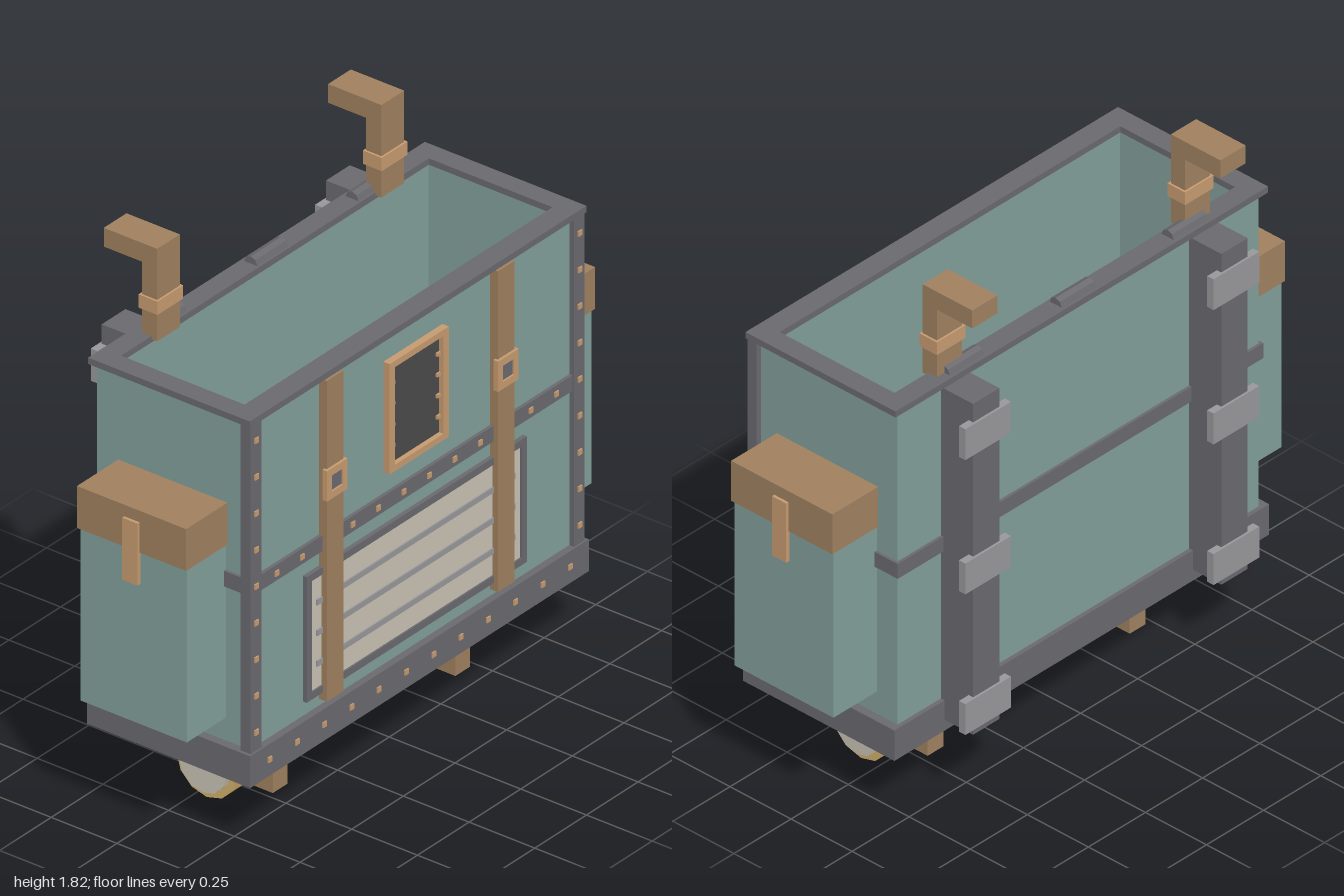
import * as THREE from 'three';

const mat = (name, color) => {
  const m = new THREE.MeshStandardMaterial({ color });
  m.name = name;
  return m;
};

export function createModel() {
  const model = new THREE.Group();
  model.name = 'travelPack';

  const canvas = mat('tealCanvas', 0x829f9a);
  const trim = mat('greyTrim', 0x6a696e);
  const steel = mat('lightSteel', 0x98989b);
  const leather = mat('leather', 0xa08160);
  const copper = mat('copper', 0xc69b70);
  const dark = mat('darkLining', 0x4a4a4a);
  const cream = mat('cream', 0xc9c2b4);
  const gold = mat('goldCloth', 0xd0b06c);

  // Box given by its extents on each axis
  const box = (name, m, [x0, x1], [y0, y1], [z0, z1]) => {
    const mesh = new THREE.Mesh(new THREE.BoxGeometry(x1 - x0, y1 - y0, z1 - z0), m);
    mesh.position.set((x0 + x1) / 2, (y0 + y1) / 2, (z0 + z1) / 2);
    mesh.name = name;
    model.add(mesh);
    return mesh;
  };
  // Box centred on x with width w
  const at = (name, m, x, w, y, z) => box(name, m, [x - w / 2, x + w / 2], y, z);

  // Flat frame with a rectangular hole, extruded along +z
  const rect = (Type, x0, x1, y0, y1) => {
    const s = new Type();
    s.moveTo(x0, y0).lineTo(x1, y0).lineTo(x1, y1).lineTo(x0, y1).closePath();
    return s;
  };
  const frameGeo = (outer, inner, depth) => {
    const s = rect(THREE.Shape, ...outer);
    s.holes.push(rect(THREE.Path, ...inner));
    return new THREE.ExtrudeGeometry(s, { depth, bevelEnabled: false });
  };
  const frontFrame = (name, m, outer, inner, z0, z1) => {
    const mesh = new THREE.Mesh(frameGeo(outer, inner, z1 - z0), m);
    mesh.position.z = z0;
    mesh.name = name;
    model.add(mesh);
  };
  // Horizontal ring: extents are x0, x1, z0, z1
  const ring = (name, m, outer, inner, y0, y1) => {
    const geo = frameGeo(outer, inner, y1 - y0);
    geo.rotateX(Math.PI / 2);
    const mesh = new THREE.Mesh(geo, m);
    mesh.position.y = y1;
    mesh.name = name;
    model.add(mesh);
  };
  const rivet = (x, y, z) => at('rivet', copper, x, 0.018, [y - 0.009, y + 0.009], [z - 0.004, z + 0.005]);

  // Open body, floor, base and rim
  ring('bodyWalls', canvas, [-0.79, 0.79, -0.24, 0.34], [-0.75, 0.75, -0.19, 0.29], 0.34, 1.49);
  at('innerFloor', dark, 0, 1.5, [0.352, 0.36], [-0.19, 0.29]);
  at('base', trim, 0, 1.64, [0.24, 0.35], [-0.255, 0.365]);
  ring('rim', trim, [-0.815, 0.815, -0.255, 0.36], [-0.745, 0.745, -0.185, 0.285], 1.483, 1.505);
  ring('middleBand', trim, [-0.8, 0.8, -0.25, 0.352], [-0.78, 0.78, -0.23, 0.33], 0.888, 0.942);

  // Rivet rows on the base and middle band
  for (let i = 0; i < 12; i++) {
    rivet(-0.727 + i * 0.1322, 0.298, 0.365);
    rivet(-0.677 + i * 0.1231, 0.915, 0.352);
  }

  // Window with stitched frame
  at('windowPane', dark, 0, 0.24, [1.03, 1.38], [0.338, 0.347]);
  frontFrame('windowFrame', copper, [-0.143, 0.143, 1.015, 1.397], [-0.117, 0.117, 1.037, 1.375], 0.338, 0.364);
  for (const y of [1.095, 1.168, 1.241, 1.312])
    for (const s of [-1, 1]) at('windowStitch', copper, s * 0.11, 0.018, [y - 0.006, y + 0.006], [0.345, 0.354]);

  // Framed panel with slats
  at('panel', cream, 0, 1.03, [0.42, 0.815], [0.338, 0.349]);
  frontFrame('panelFrame', trim, [-0.533, 0.533, 0.4, 0.835], [-0.508, 0.508, 0.425, 0.81], 0.338, 0.355);
  for (const y of [0.51, 0.616, 0.722])
    at('panelSlat', steel, 0, 0.96, [y - 0.01, y + 0.01], [0.347, 0.354]);

  // Bedroll under the base
  const roll = (name, m, r, len) => {
    const geo = new THREE.CylinderGeometry(r, r, len, 12).toNonIndexed();
    geo.rotateZ(Math.PI / 2);
    geo.computeVertexNormals();
    const mesh = new THREE.Mesh(geo, m);
    mesh.position.set(0, 0.128, 0.055);
    mesh.name = name;
    model.add(mesh);
  };
  roll('bedroll', gold, 0.115, 1.27);
  roll('bedrollCore', cream, 0.09, 1.31);

  // Clips along the back of the rim
  for (const x of [-0.49, 0, 0.49]) {
    const geo = new THREE.CylinderGeometry(0.025, 0.025, 0.15, 8).toNonIndexed();
    geo.rotateZ(Math.PI / 2);
    geo.computeVertexNormals();
    const clip = new THREE.Mesh(geo, trim);
    clip.position.set(x, 1.505, -0.218);
    clip.name = 'rimClip';
    model.add(clip);
  }

  for (const s of [-1, 1]) {
    // Riveted front corner posts
    at('cornerPost', trim, s * 0.783, 0.052, [0.35, 1.485], [0.32, 0.358]);
    for (let i = 0; i < 9; i++) rivet(s * 0.783, 0.415 + i * 0.1263, 0.358);

    // Front straps with buckles
    const fx = s * 0.414;
    at('frontStrap', leather, fx, 0.08, [0.373, 1.483], [0.338, 0.369]);
    frontFrame('strapBuckle', copper, [fx - 0.05, fx + 0.05, 1.073, 1.178], [fx - 0.027, fx + 0.027, 1.098, 1.153], 0.36, 0.378);
    at('buckleCentre', trim, fx, 0.056, [1.097, 1.154], [0.364, 0.372]);

    // Side pockets
    at('sidePocket', canvas, s * 0.88, 0.2, [0.43, 1.04], [-0.155, 0.25]);
    at('pocketLid', leather, s * 0.888, 0.204, [1.03, 1.175], [-0.16, 0.255]);
    at('pocketStrap', copper, s * 0.9925, 0.015, [0.92, 1.135], [0.02, 0.078]);

    // Bedroll straps
    at('bedrollStrap', leather, s * 0.442, 0.07, [0, 0.245], [-0.07, 0.182]);
    at('bedrollBuckle', copper, s * 0.442, 0.088, [0.1, 0.16], [0.17, 0.193]);

    // Back rails with brackets
    at('backRail', trim, s * 0.543, 0.115, [0.28, 1.48], [-0.372, -0.235]);
    for (const y of [0.36, 0.87, 1.357])
      at('railBracket', steel, s * 0.543, 0.2, [y - 0.056, y + 0.056], [-0.38, -0.354]);

    // Shoulder straps bending backwards
    at('shoulderStrap', leather, s * 0.543, 0.11, [1.495, 1.815], [-0.221, -0.163]);
    at('shoulderStrapHook', leather, s * 0.543, 0.11, [1.75, 1.815], [-0.366, -0.221]);
    at('shoulderBuckle', copper, s * 0.543, 0.125, [1.592, 1.638], [-0.228, -0.156]);
  }
  return model;
}
